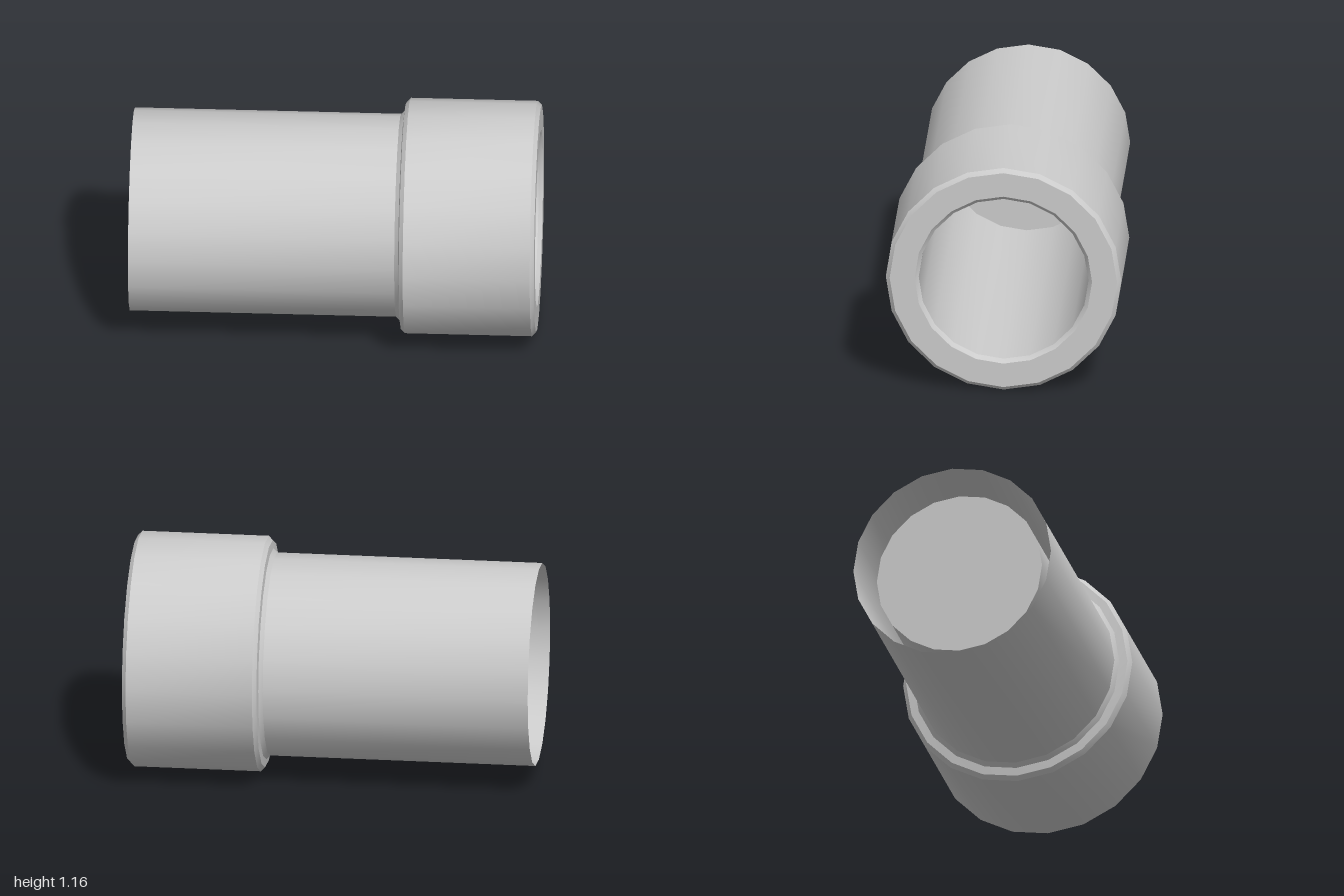
import * as THREE from 'three';
import { toCreasedNormals } from 'three/addons/utils/BufferGeometryUtils.js';

const SIDES = 20;
const AXIS_Y = 0.58;

export function createModel() {
  const group = new THREE.Group();
  group.name = 'pipeFitting';
  const material = new THREE.MeshStandardMaterial({ color: 0xcccccc, side: THREE.DoubleSide });

  // Revolves a profile of [x, radius] points around the horizontal axis
  function turned(name, profile) {
    const points = profile.map(([x, r]) => new THREE.Vector2(r, x));
    const geometry = toCreasedNormals(new THREE.LatheGeometry(points, SIDES), Math.PI / 6);
    geometry.rotateZ(-Math.PI / 2);
    const mesh = new THREE.Mesh(geometry, material);
    mesh.name = name;
    mesh.position.y = AXIS_Y;
    group.add(mesh);
  }

  // Thin outer sleeve, open at the rear
  turned('sleeve', [[-1, 0.5], [0.31, 0.5]]);

  // Wide collar with a small fillet, chamfered rims and a flat front ring
  turned('collar', [
    [0.31, 0.5], [0.33, 0.52], [0.335, 0.56], [0.355, 0.58],
    [0.98, 0.58], [1, 0.56], [1, 0.437],
  ]);

  // Bore with a chamfered mouth
  turned('bore', [[1, 0.437], [0.98, 0.418], [-0.85, 0.418]]);

  // Disc closing the bore, recessed inside the rear of the sleeve
  const floor = new THREE.Mesh(new THREE.CircleGeometry(0.418, SIDES), material);
  floor.name = 'boreFloor';
  floor.rotation.y = Math.PI / 2;
  floor.position.set(-0.85, AXIS_Y, 0);
  group.add(floor);

  return group;
}
